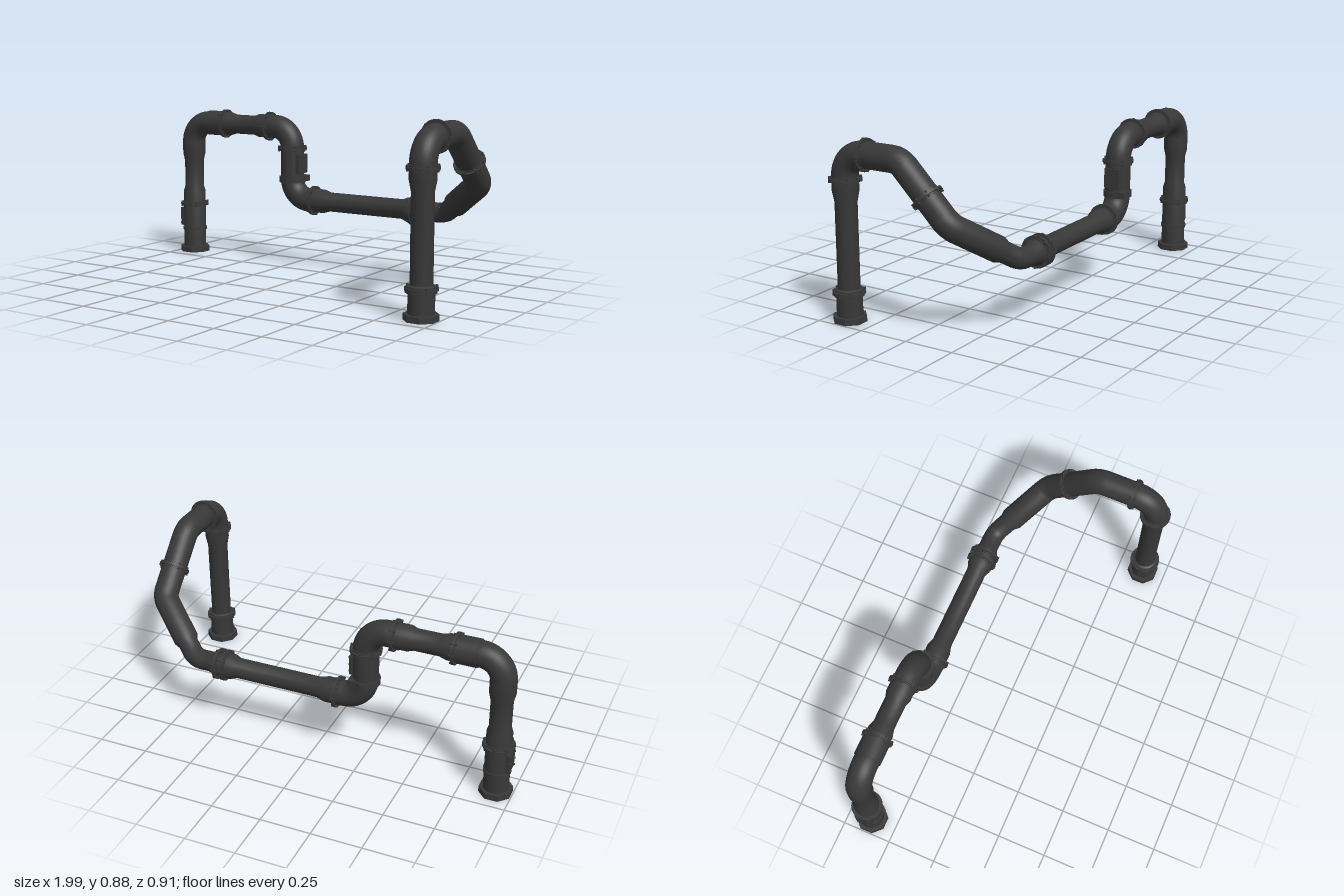
import * as THREE from 'three';
import { toCreasedNormals } from 'three/addons/utils/BufferGeometryUtils.js';

const V = (x, y, z) => new THREE.Vector3(x, y, z);
const material = new THREE.MeshStandardMaterial({ color: 0x383838 });
const UP = V(0, 1, 0);

function add(parent, name, geometry, x = 0, y = 0, z = 0) {
  const mesh = new THREE.Mesh(geometry, material);
  mesh.name = name;
  mesh.position.set(x, y, z);
  parent.add(mesh);
  return mesh;
}

// Turned part from [distance along axis, radius] pairs
function turned(profile, sides = 28, start = 0) {
  const points = profile.map(([s, r]) => new THREE.Vector2(r, s));
  return toCreasedNormals(new THREE.LatheGeometry(points, sides, start), 0.5);
}

const bandGeometry = (r, w) =>
  turned([[-w / 2, 0.045], [-w / 2, r], [w / 2, r], [w / 2, 0.045]]);

// Bolted flange: thin disc, a collar and a circle of bolts
function addFlange(run, s) {
  const flange = new THREE.Group();
  flange.name = 'flange';
  flange.position.y = s;
  add(flange, 'flangeDisc', bandGeometry(0.077, 0.012));
  add(flange, 'flangeCollar', bandGeometry(0.066, 0.026));
  const bolt = new THREE.CylinderGeometry(0.006, 0.006, 0.03, 6);
  for (let i = 0; i < 8; i++) {
    const a = (i * Math.PI) / 4;
    add(flange, 'flangeBolt', bolt, 0.071 * Math.cos(a), 0, 0.071 * Math.sin(a));
  }
  run.add(flange);
}

// Screwed inspection plate on a vertical pipe, facing +x or -x
function addHatch(model, x, y, z, side) {
  const hatch = new THREE.Group();
  hatch.name = 'inspectionHatch';
  hatch.position.set(x, y, z);
  add(hatch, 'hatchPlate', new THREE.BoxGeometry(0.03, 0.1, 0.08), side * 0.053);
  const screw = new THREE.CylinderGeometry(0.005, 0.005, 0.008, 8).rotateZ(Math.PI / 2);
  for (const dy of [-0.038, 0, 0.038])
    for (const dz of [-0.03, 0.03]) add(hatch, 'hatchScrew', screw, side * 0.07, dy, dz);
  model.add(hatch);
}

// Quarter or eighth bend, tangent to both runs meeting at the corner
function addElbow(model, before, corner, after, bendRadius, r) {
  const t = corner.clone().sub(before).normalize();
  const u = after.clone().sub(corner).normalize();
  const angle = t.angleTo(u);
  const inward = u.clone().addScaledVector(t, -u.dot(t)).normalize();
  const centre = corner.clone()
    .addScaledVector(t, -bendRadius * Math.tan(angle / 2))
    .addScaledVector(inward, bendRadius);
  const a = inward.clone().negate();
  const geometry = new THREE.TorusGeometry(bendRadius, r, 28, 20, angle);
  geometry.applyMatrix4(new THREE.Matrix4()
    .makeBasis(a, t, a.clone().cross(t)).setPosition(centre));
  add(model, 'elbow', geometry);
}

export function createModel() {
  const model = new THREE.Group();
  model.name = 'pipeline';

  // Corners of the pipe's centre line, from the back foot to the front foot
  const path = [
    V(-0.92, 0, -0.38), V(-0.92, 0.73, -0.38), V(-0.26, 0.73, -0.38),
    V(-0.26, 0.35, -0.38), V(0.65, 0.35, -0.38), V(0.92, 0.54, -0.19),
    V(0.92, 0.8, 0.07), V(0.92, 0.8, 0.38), V(0.92, 0, 0.38),
  ];

  // Each straight run: profile, flange distances and bands [distance, radius, width]
  const runs = [
    { name: 'backLeg',
      profile: [[0.2, 0], [0.2, 0.05], [0, 0.05], [0, 0.061], [0.34, 0.061],
        [0.37, 0.052], [0.51, 0.052], [0.555, 0.062], [0.62, 0.062]],
      flanges: [0.27], bands: [[0.13, 0.066, 0.016]] },
    { name: 'upperPipe',
      profile: [[0.11, 0.062], [0.26, 0.062], [0.295, 0.052], [0.42, 0.052],
        [0.45, 0.062], [0.55, 0.062]],
      flanges: [0.225, 0.515], bands: [[0.165, 0.067, 0.1]] },
    { name: 'dropPipe',
      profile: [[0.11, 0.062], [0.27, 0.062]],
      flanges: [0.11], bands: [[0.275, 0.07, 0.03]] },
    { name: 'lowerPipe',
      profile: [[0.11, 0.062], [0.2, 0.062], [0.24, 0.05], [0.67, 0.05],
        [0.7, 0.062], [0.79, 0.062], [0.82, 0.05], [0.869, 0.05]],
      flanges: [0.14, 0.735, 0.775], bands: [] },
    { name: 'slantedPipe',
      profile: [[0.041, 0.05], [0.09, 0.05], [0.12, 0.062], [0.341, 0.062]],
      flanges: [], bands: [] },
    { name: 'risingPipe',
      profile: [[0.041, 0.062], [0.327, 0.062]],
      flanges: [0.158], bands: [] },
    { name: 'forwardPipe',
      profile: [[0.041, 0.062], [0.2, 0.062]],
      flanges: [0.19], bands: [] },
    { name: 'frontLeg',
      profile: [[0.11, 0.062], [0.18, 0.062], [0.23, 0.052], [0.64, 0.052],
        [0.645, 0.061], [0.8, 0.061], [0.8, 0.05], [0.65, 0.05], [0.65, 0]],
      flanges: [0.125, 0.658], bands: [[0.67, 0.07, 0.014]] },
  ];

  runs.forEach(({ name, profile, flanges, bands }, i) => {
    const run = new THREE.Group();
    run.name = name;
    run.position.copy(path[i]);
    run.quaternion.setFromUnitVectors(UP, path[i + 1].clone().sub(path[i]).normalize());
    add(run, name + 'Tube', turned(profile));
    flanges.forEach((s) => addFlange(run, s));
    bands.forEach(([s, r, w]) => add(run, 'band', bandGeometry(r, w), 0, s, 0));
    model.add(run);
  });

  // Bends: wide quarter turns and shallow eighth turns
  for (let i = 1; i < path.length - 1; i++) {
    const shallow = i >= 4 && i <= 6;
    addElbow(model, path[i - 1], path[i], path[i + 1],
      shallow ? 0.1 : 0.11, i === 4 ? 0.05 : 0.062);
  }

  // Eight-sided open feet
  const foot = turned([[0.03, 0.049], [0, 0.049], [0, 0.081], [0.03, 0.081], [0.03, 0.049]],
    8, Math.PI / 8);
  for (const p of [path[0], path[8]]) add(model, 'foot', foot, p.x, 0, p.z);

  // Hatches and the latch block on the drop pipe's lower band
  addHatch(model, -0.92, 0.195, -0.38, -1);
  addHatch(model, -0.26, 0.54, -0.38, 1);
  add(model, 'latchBlock', new THREE.BoxGeometry(0.04, 0.032, 0.075), -0.215, 0.459, -0.413);

  return model;
}
